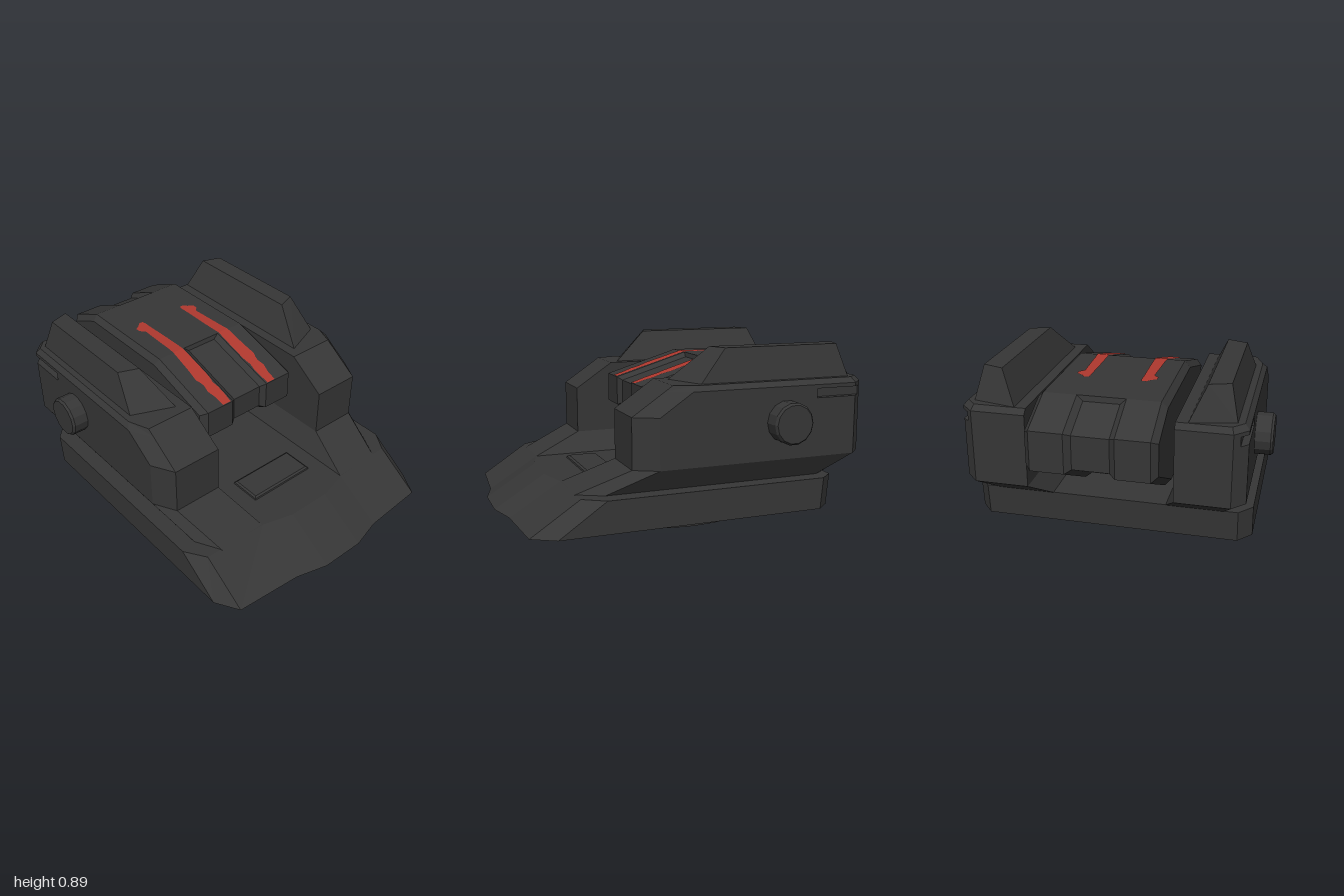
import * as THREE from 'three';

const gunmetal = new THREE.MeshStandardMaterial({ color: 0x363636, flatShading: true });
gunmetal.name = 'dark gunmetal';
const red = new THREE.MeshStandardMaterial({ color: 0xb0382e, flatShading: true });
red.name = 'worn red paint';

// Flat-shaded solid through matching rings of [x, y, z] points, capped at both ends
function loft(rings) {
  const tris = [];
  const n = rings[0].length;
  for (let r = 0; r < rings.length - 1; r++) {
    for (let i = 0; i < n; i++) {
      const j = (i + 1) % n;
      const a = rings[r][i], b = rings[r][j], c = rings[r + 1][j], d = rings[r + 1][i];
      tris.push([a, b, c], [a, c, d]);
    }
  }
  const cap = (ring, flip) => {
    const mid = [0, 1, 2].map(k => ring.reduce((s, p) => s + p[k], 0) / n);
    ring.forEach((p, i) => {
      const q = ring[(i + 1) % n];
      tris.push(flip ? [mid, q, p] : [mid, p, q]);
    });
  };
  cap(rings[0], true);
  cap(rings[rings.length - 1], false);
  // Drop collapsed triangles, then turn every face outward by the signed volume
  const v = p => new THREE.Vector3(...p);
  const solid = tris.filter(([a, b, c]) => v(b).sub(v(a)).cross(v(c).sub(v(a))).length() > 1e-9);
  const volume = solid.reduce((s, [a, b, c]) => s + v(a).dot(v(b).cross(v(c))), 0);
  if (volume < 0) solid.forEach(t => t.reverse());
  const geo = new THREE.BufferGeometry();
  geo.setAttribute('position', new THREE.Float32BufferAttribute(solid.flat(2), 3));
  geo.computeVertexNormals();
  return geo;
}

// Turned part from [radius, height] points
const turned = (pts, sides) => new THREE.LatheGeometry(pts.map(p => new THREE.Vector2(...p)), sides);
// Ring of [x, z] points at height y, mirrored by side
const level = (y, pts, side = 1) => pts.map(([x, z]) => [x * side, y, z]);
// Closed symmetric outline from its +x half
const both = half => [...half, ...half.map(([x, z]) => [-x, z]).reverse()];

// Tower outline at height y: the front leans back above 0.58; slot cuts into the outer wall
function towerOutline(y, slot = false) {
  const lean = Math.max(0, y - 0.58) * 1.48;
  return [[0.36, 0.42 - lean], [0.63, 0.42 - lean], [0.695, 0.3 - lean], [0.695, -0.555],
    [slot ? 0.66 : 0.695, -0.555], slot ? [0.66, -0.815] : [0.695, -0.78], [0.63, -0.845], [0.36, -0.845]];
}

export function createModel() {
  const model = new THREE.Group();
  model.name = 'turret';
  const add = (name, geo, mat = gunmetal) => {
    const mesh = new THREE.Mesh(geo, mat);
    mesh.name = name;
    model.add(mesh);
    return mesh;
  };

  // Hollow mounting ring under the base
  add('mountingRing', turned([[0.6, 0.05], [0.6, 0], [0.615, 0], [0.62, 0.05]], 32)).position.z = 0.09;

  // Wedge-nosed base
  add('base', loft([
    level(0.045, both([[0.12, 1], [0.29, 0.955], [0.645, 0.93], [0.717, 0.81], [0.717, -0.58], [0.65, -0.655]])),
    level(0.21, both([[0.12, 0.735], [0.29, 0.69], [0.645, 0.68], [0.717, 0.57], [0.717, -0.595], [0.65, -0.67]])),
  ]));

  // Raised hatch on the base
  const rect = (x, z0, z1) => [[x, z0], [x, z1], [-x, z1], [-x, z0]];
  add('hatch', loft([
    level(0.2, rect(0.2, 0.355, 0.535)),
    level(0.218, rect(0.195, 0.36, 0.53)),
    level(0.226, rect(0.185, 0.37, 0.52)),
  ]));

  // Side towers with recessed slots, fins and axle knobs
  for (const side of [1, -1]) {
    const hand = side > 0 ? 'left' : 'right';
    add(hand + 'Tower', loft([
      level(0.208, [[0.29, 0.69], [0.56, 0.69], [0.63, 0.56], [0.63, -0.45], [0.63, -0.45],
        [0.63, -0.6], [0.58, -0.67], [0.29, -0.67]], side),
      level(0.322, towerOutline(0.322), side),
      level(0.58, towerOutline(0.58), side),
      level(0.627, towerOutline(0.627), side),
      level(0.627, towerOutline(0.627, true), side),
      level(0.675, towerOutline(0.675, true), side),
      level(0.675, towerOutline(0.675), side),
      level(0.695, towerOutline(0.695), side),
      level(0.722, [[0.36, 0.21], [0.63, 0.21], [0.672, 0.1], [0.672, -0.555], [0.672, -0.555],
        [0.672, -0.765], [0.62, -0.82], [0.36, -0.82]], side),
    ]));

    add(hand + 'Fin', loft([
      level(0.715, [[0.415, 0.16], [0.64, 0.07], [0.64, -0.77], [0.415, -0.82]], side),
      level(0.89, [[0.495, -0.04], [0.6, -0.08], [0.6, -0.715], [0.495, -0.75]], side),
    ]));

    const knob = add(hand + 'Knob', turned([
      [0, -0.06], [0.108, -0.06], [0.108, 0.078], [0.098, 0.09], [0, 0.09],
    ], 14));
    knob.rotation.z = -side * Math.PI / 2;
    knob.position.set(side * 0.695, 0.517, -0.38);
  }

  // Axle through the gun body
  const axle = add('axle', new THREE.CylinderGeometry(0.098, 0.098, 1.3, 14));
  axle.rotation.z = Math.PI / 2;
  axle.position.set(0, 0.517, -0.38);

  // Gun body: [z, y] profiles swept across x, with end-walled grooves and bevelled sides
  const full = [[-0.16, 0.794], [-0.16, 0.794], [0.25, 0.67], [0.25, 0.513], [-0.13, 0.312],
    [-0.66, 0.312], [-1, 0.49], [-1, 0.69], [-0.77, 0.794], [-0.77, 0.794]];
  const groove = [[-0.16, 0.794], [-0.155, 0.769], [0.228, 0.654], [0.228, 0.525], [-0.135, 0.335],
    [-0.65, 0.335], [-0.975, 0.505], [-0.975, 0.675], [-0.775, 0.766], [-0.77, 0.794]];
  const bevel = [[-0.17, 0.763], [-0.17, 0.763], [0.215, 0.648], [0.215, 0.535], [-0.14, 0.345],
    [-0.65, 0.345], [-0.965, 0.51], [-0.965, 0.67], [-0.76, 0.763], [-0.76, 0.763]];
  const stations = [[-0.315, bevel], [-0.285, full], [-0.12, full], [-0.09, groove],
    [0.09, groove], [0.12, full], [0.285, full], [0.315, bevel]];
  add('gunBody', loft(stations.map(([x, profile]) => profile.map(([z, y]) => [x, y, z]))));

  // Ragged painted stripes lying on the gun's top: rows of [z, inner x, outer x]
  const rows = [[-0.525, 0.135, 0.16], [-0.505, 0.13, 0.175], [-0.485, 0.13, 0.205], [-0.455, 0.13, 0.205],
    [-0.43, 0.13, 0.18], [-0.3, 0.127, 0.185], [-0.2, 0.127, 0.188], [-0.16, 0.127, 0.192],
    [-0.02, 0.125, 0.198], [0.05, 0.125, 0.205], [0.075, 0.127, 0.195], [0.1, 0.133, 0.19],
    [0.14, 0.127, 0.198], [0.19, 0.127, 0.185], [0.248, 0.132, 0.182]];
  const topY = z => 0.797 - Math.max(0, z + 0.16) * (0.124 / 0.41);
  for (const side of [1, -1]) {
    const pos = rows.flatMap(([z, a, b]) => [side * a, topY(z), z, side * b, topY(z), z]);
    const index = [];
    for (let i = 0; i < rows.length - 1; i++) {
      const a = 2 * i;
      if (side > 0) index.push(a, a + 2, a + 1, a + 1, a + 2, a + 3);
      else index.push(a, a + 1, a + 2, a + 1, a + 3, a + 2);
    }
    const geo = new THREE.BufferGeometry();
    geo.setAttribute('position', new THREE.Float32BufferAttribute(pos, 3));
    geo.setIndex(index);
    geo.computeVertexNormals();
    add(side > 0 ? 'leftStripe' : 'rightStripe', geo, red);
  }

  return model;
}
